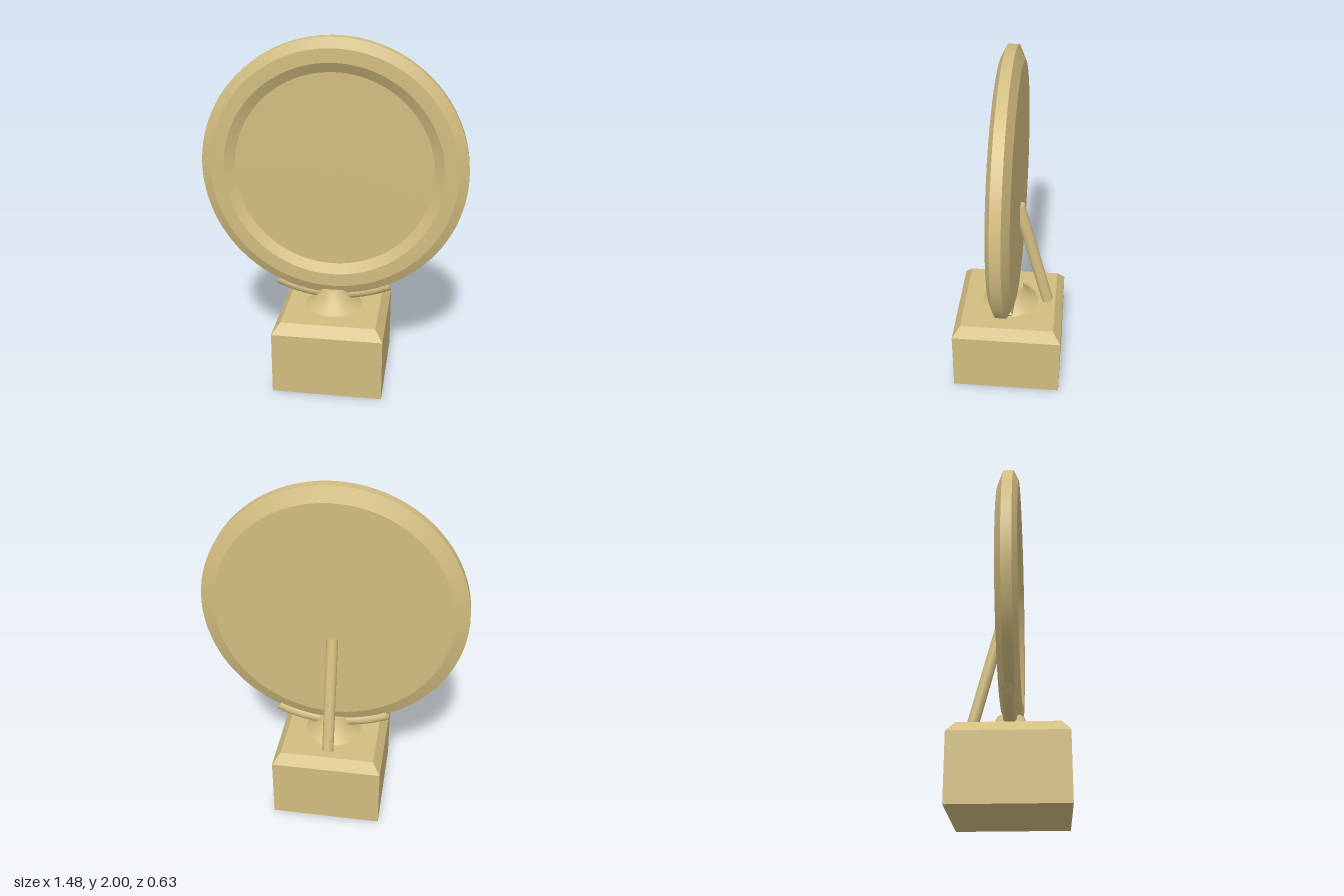
import * as THREE from 'three';
import { toCreasedNormals } from 'three/addons/utils/BufferGeometryUtils.js';

const vec2 = (pairs) => pairs.map(([x, y]) => new THREE.Vector2(x, y));

export function createModel() {
  const group = new THREE.Group();
  const gold = new THREE.MeshStandardMaterial({ color: 0xd2bd80 });
  gold.name = 'pale gold';

  const add = (name, geometry, parent = group) => {
    const mesh = new THREE.Mesh(geometry, gold);
    mesh.name = name;
    parent.add(mesh);
    return mesh;
  };

  // Square plinth with a chamfered top
  add('plinth', new THREE.BoxGeometry(0.63, 0.37, 0.63)).position.y = 0.185;
  const chamfer = new THREE.CylinderGeometry(0.27 * Math.SQRT2, 0.315 * Math.SQRT2, 0.06, 4, 1);
  chamfer.rotateY(Math.PI / 4);
  add('plinthChamfer', toCreasedNormals(chamfer, 0.3)).position.y = 0.4;

  // Flared neck on the plinth
  const neck = new THREE.LatheGeometry(vec2([
    [0.165, 0.425], [0.165, 0.43], [0.135, 0.452], [0.11, 0.48],
    [0.092, 0.51], [0.075, 0.543], [0, 0.543],
  ]), 48);
  add('neck', toCreasedNormals(neck, 0.6));

  // Round plate with bevelled edges and a sunken front, turned to face +z
  const plate = new THREE.LatheGeometry(vec2([
    [0, -0.055], [0.66, -0.055], [0.74, -0.02], [0.74, 0.036],
    [0.685, 0.062], [0.61, 0.062], [0.555, 0.03], [0, 0.03],
  ]), 96);
  plate.rotateX(Math.PI / 2);
  add('plate', toCreasedNormals(plate, 0.3)).position.y = 1.26;

  // Curved cradle under the plate, closed at both ends
  const cradle = new THREE.Group();
  cradle.name = 'cradle';
  cradle.position.y = 1.26;
  group.add(cradle);
  const radius = 0.752, thickness = 0.037, spread = 0.446;
  const arc = new THREE.TorusGeometry(radius, thickness, 20, 32, spread * 2);
  arc.rotateZ(-Math.PI / 2 - spread);
  add('cradleArc', arc, cradle);
  for (const side of [-1, 1]) {
    const cap = add('cradleEnd', new THREE.CircleGeometry(thickness, 20), cradle);
    cap.position.set(side * radius * Math.sin(spread), -radius * Math.cos(spread), 0);
    cap.lookAt(cap.position.clone().add(
      new THREE.Vector3(side * Math.cos(spread), Math.sin(spread), 0)));
  }

  // Slanted rod bracing the plate from behind
  const top = new THREE.Vector3(0, 1.112, -0.048);
  const foot = new THREE.Vector3(0, 0.445, -0.222);
  const strut = add('backStrut',
    new THREE.CylinderGeometry(0.033, 0.033, top.distanceTo(foot), 24));
  strut.position.copy(top).add(foot).multiplyScalar(0.5);
  strut.quaternion.setFromUnitVectors(
    new THREE.Vector3(0, 1, 0), top.clone().sub(foot).normalize());

  return group;
}
